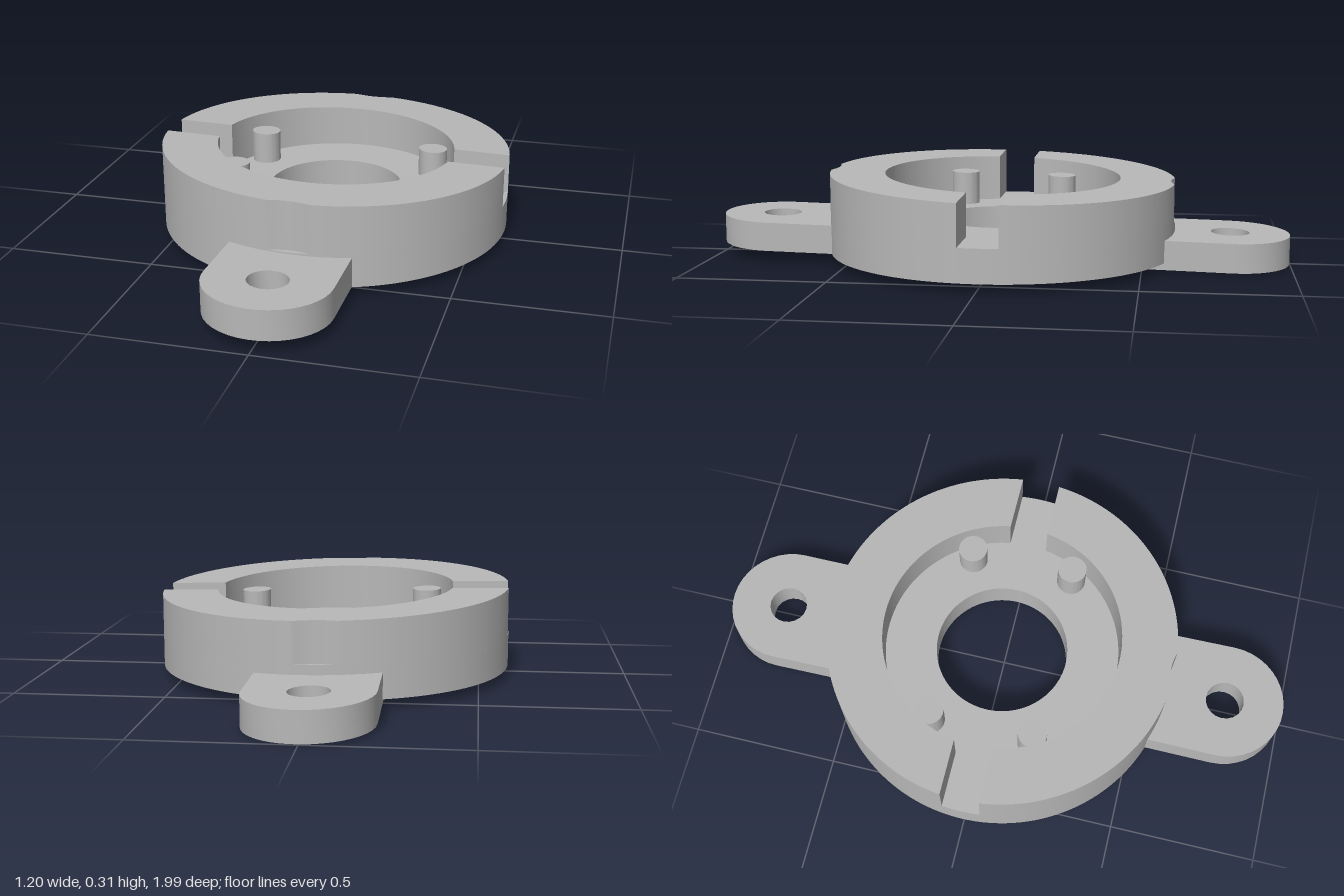
import * as THREE from 'three';
import { toCreasedNormals } from 'three/addons/utils/BufferGeometryUtils.js';

const CZ = -0.008;                 // ring centre in z
const BASE = 0.03, FLOOR = 0.142;  // underside and recess floor
const OUTER = 0.6, INNER = 0.41, BORE = 0.23;

// slightly sloping planes used by the cut faces
const topPlane = (x, z) => 0.294 - 0.023 * x + 0.025 * z;
const earPlane = (x, z) => 0.024 - 0.024 * x + 0.022 * z;

// extrude a plan shape (x, -z) upwards, then set the height of its two faces
function prism(shape, segs, { turn = 0, x = 0, z = 0, bottom, top }) {
  const g = new THREE.ExtrudeGeometry(shape, { depth: 1, bevelEnabled: false, curveSegments: segs });
  g.rotateX(-Math.PI / 2).rotateY(turn).translate(x, 0, z);
  const p = g.attributes.position;
  for (let i = 0; i < p.count; i++) {
    const f = p.getY(i) > 0.5 ? top : bottom;
    p.setY(i, f(p.getX(i), p.getZ(i)));
  }
  return toCreasedNormals(g, 0.6);
}

function circle(r, x = 0, y = 0, Type = THREE.Path) {
  return new Type().absarc(x, y, r, 0, Math.PI * 2, false);
}

export function createModel() {
  const group = new THREE.Group();
  const grey = new THREE.MeshStandardMaterial({ color: 0xb8b8b8 });
  grey.name = 'grey';
  const add = (name, geometry) => {
    const m = new THREE.Mesh(geometry, grey);
    m.name = name;
    group.add(m);
  };
  const floor = () => FLOOR;

  // base disc with the central bore
  const disc = circle(OUTER, 0, 0, THREE.Shape);
  disc.holes.push(circle(BORE));
  add('baseDisc', prism(disc, 96, { z: CZ, bottom: () => BASE, top: floor }));

  // half wall between the two slots, with a shallow screw clearance in the middle
  const slot = 0.066, d = 0.795, r = 0.21;
  const cy = (d * d + OUTER * OUTER - r * r) / (2 * d);
  const cx = Math.sqrt(OUTER * OUTER - cy * cy);
  const a = Math.asin(slot / OUTER), b = Math.asin(slot / INNER);
  const c = Math.atan2(cy, cx), e = Math.atan2(cy - d, cx);
  const wall = new THREE.Shape();
  wall.absarc(0, 0, OUTER, a, c, false);
  wall.absarc(0, d, r, e, -Math.PI - e, true);
  wall.absarc(0, 0, OUTER, Math.PI - c, Math.PI - a, false);
  wall.absarc(0, 0, INNER, Math.PI - b, b, true);
  add('backWall', prism(wall, 40, { z: CZ, bottom: floor, top: topPlane }));
  add('frontWall', prism(wall, 40, { turn: Math.PI, z: CZ, bottom: floor, top: topPlane }));

  // four locating pegs
  for (const sx of [-1, 1]) for (const sz of [-1, 1]) {
    add('peg', prism(circle(0.05, 0, 0, THREE.Shape), 24, {
      x: sx * 0.31, z: CZ + sz * 0.18, bottom: floor,
      top: (x, z) => topPlane(x, z) - 0.045,
    }));
  }

  // mounting ears with rounded ends and screw holes
  const ear = (name, turn, z, reach) => {
    const s = new THREE.Shape();
    s.moveTo(-0.2, -reach);
    s.lineTo(0.2, -reach);
    s.absarc(0, 0, 0.203, 0, Math.PI, false);
    s.closePath();
    s.holes.push(circle(0.066));
    add(name, prism(s, 10, {
      turn, x: -0.004, z, bottom: earPlane, top: (x, y) => earPlane(x, y) + 0.099,
    }));
  };
  ear('backEar', 0, -0.797, 0.437);
  ear('frontEar', Math.PI, 0.79, 0.34);

  return group;
}
